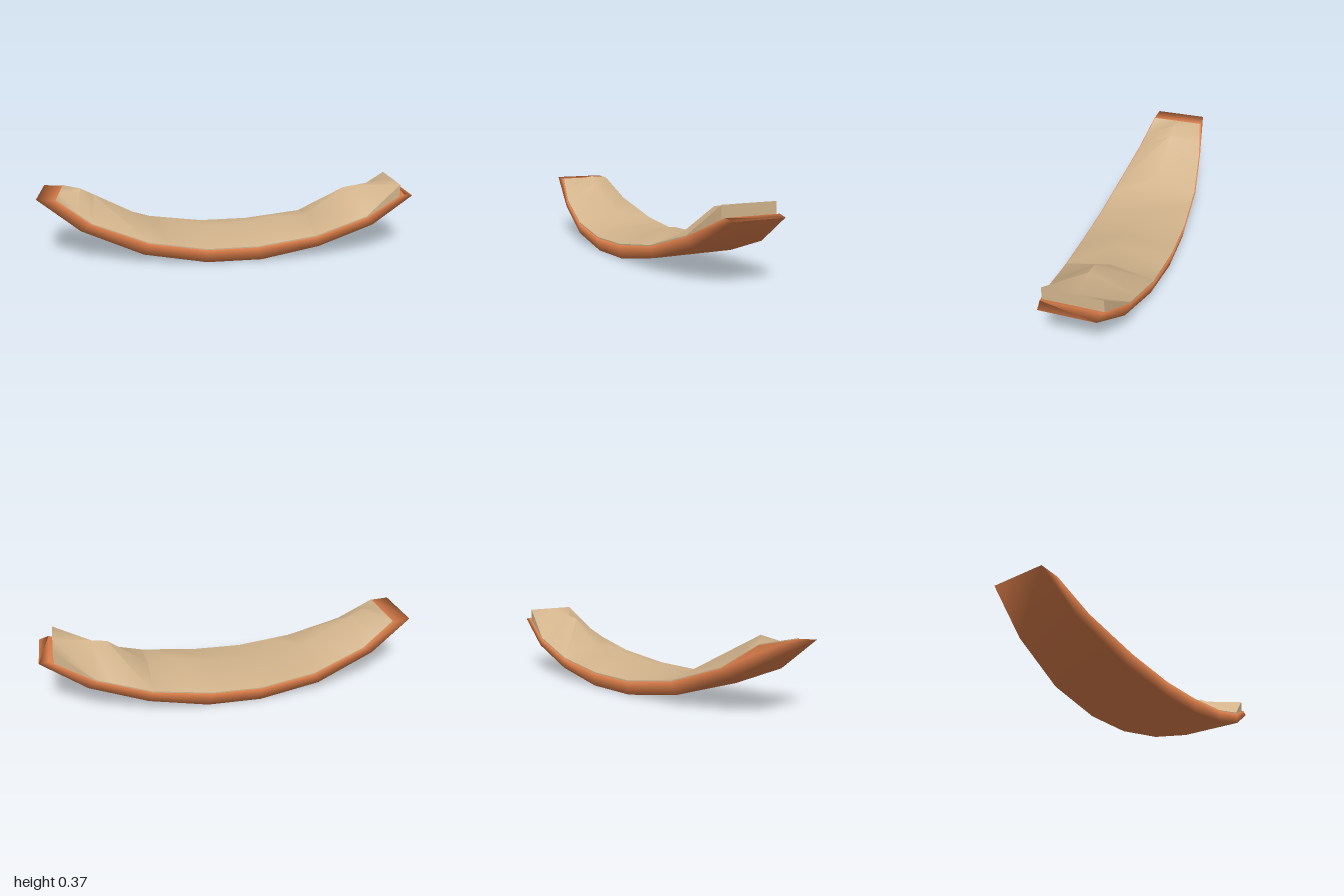
import * as THREE from 'three';
import { toCreasedNormals } from 'three/addons/utils/BufferGeometryUtils.js';

const shellMat = new THREE.MeshStandardMaterial({ color: 0xdc7e4a });
shellMat.name = 'orange shell';
const fillMat = new THREE.MeshStandardMaterial({ color: 0xd2b48c });
fillMat.name = 'tan filling';

// Joins closed rings of points along x and caps both ends
function loft(rings) {
  const n = rings[0].length, last = (rings.length - 1) * n, index = [];
  for (let i = 0; i < rings.length - 1; i++) {
    for (let j = 0; j < n; j++) {
      const a = i * n + j, b = i * n + (j + 1) % n;
      index.push(a, a + n, b, b, a + n, b + n);
    }
  }
  for (let j = 1; j < n - 1; j++) {
    index.push(0, j, j + 1, last, last + j + 1, last + j);
  }
  const geo = new THREE.BufferGeometry();
  geo.setAttribute('position', new THREE.Float32BufferAttribute(rings.flat(2), 3));
  geo.setIndex(index);
  geo.computeVertexNormals();
  return geo;
}

// Linear lookup of column k in a table sorted by x
function sample(table, x, k) {
  let i = 0;
  while (i < table.length - 2 && x > table[i + 1][0]) i++;
  const a = table[i], b = table[i + 1];
  const t = THREE.MathUtils.clamp((x - a[0]) / (b[0] - a[0]), 0, 1);
  return THREE.MathUtils.lerp(a[k], b[k], t);
}

// Shell keel and rim: x, y, half width
const keel = [
  [-1, 0.345, 0.147], [-0.78, 0.178, 0.18], [-0.46, 0.052, 0.222], [-0.13, 0.003, 0.241],
  [0.16, 0.008, 0.241], [0.47, 0.065, 0.225], [0.77, 0.163, 0.188], [1, 0.305, 0.137],
];
const rim = [
  [-0.9, 0.337, 0.154], [-0.72, 0.215, 0.198], [-0.43, 0.115, 0.24], [-0.13, 0.073, 0.255],
  [0.14, 0.078, 0.255], [0.45, 0.12, 0.24], [0.73, 0.207, 0.208], [0.95, 0.316, 0.146],
];
// Crest of the filling, and how far its edge stands above the rim
const crest = [
  [-0.9, 0.342], [-0.79, 0.36], [-0.31, 0.115], [0.04, 0.13],
  [0.28, 0.175], [0.44, 0.17], [0.65, 0.325], [0.925, 0.37],
];
const lift = [[-0.9, 0.005], [0.45, 0.007], [0.73, 0.007], [0.925, 0.066]];

export function createModel() {
  const model = new THREE.Group();

  // Curved boat-shaped shell
  const shell = new THREE.Mesh(loft(keel.map(([kx, ky, kw], i) => {
    const [x, y, w] = rim[i];
    return [[x, y, w], [x, y, -w], [kx, ky, -kw], [kx, ky, kw]];
  })), shellMat);
  shell.name = 'shell';
  model.add(shell);

  // Uneven filling lying in the shell
  const stations = [...new Set([...crest, ...rim].map((p) => p[0]))]
    .filter((x) => x <= 0.925).sort((a, b) => a - b);
  const rings = stations.map((x) => {
    const y = sample(rim, x, 1), w = sample(rim, x, 2) - 0.006;
    const edge = y + sample(lift, x, 1);
    const top = Math.max(sample(crest, x, 1), edge);
    return [[x, edge, w], [x, top, 0], [x, edge, -w], [x, y - 0.005, -w], [x, y - 0.005, w]];
  });
  const filling = new THREE.Mesh(toCreasedNormals(loft(rings), 0.95), fillMat);
  filling.name = 'filling';
  model.add(filling);

  return model;
}
